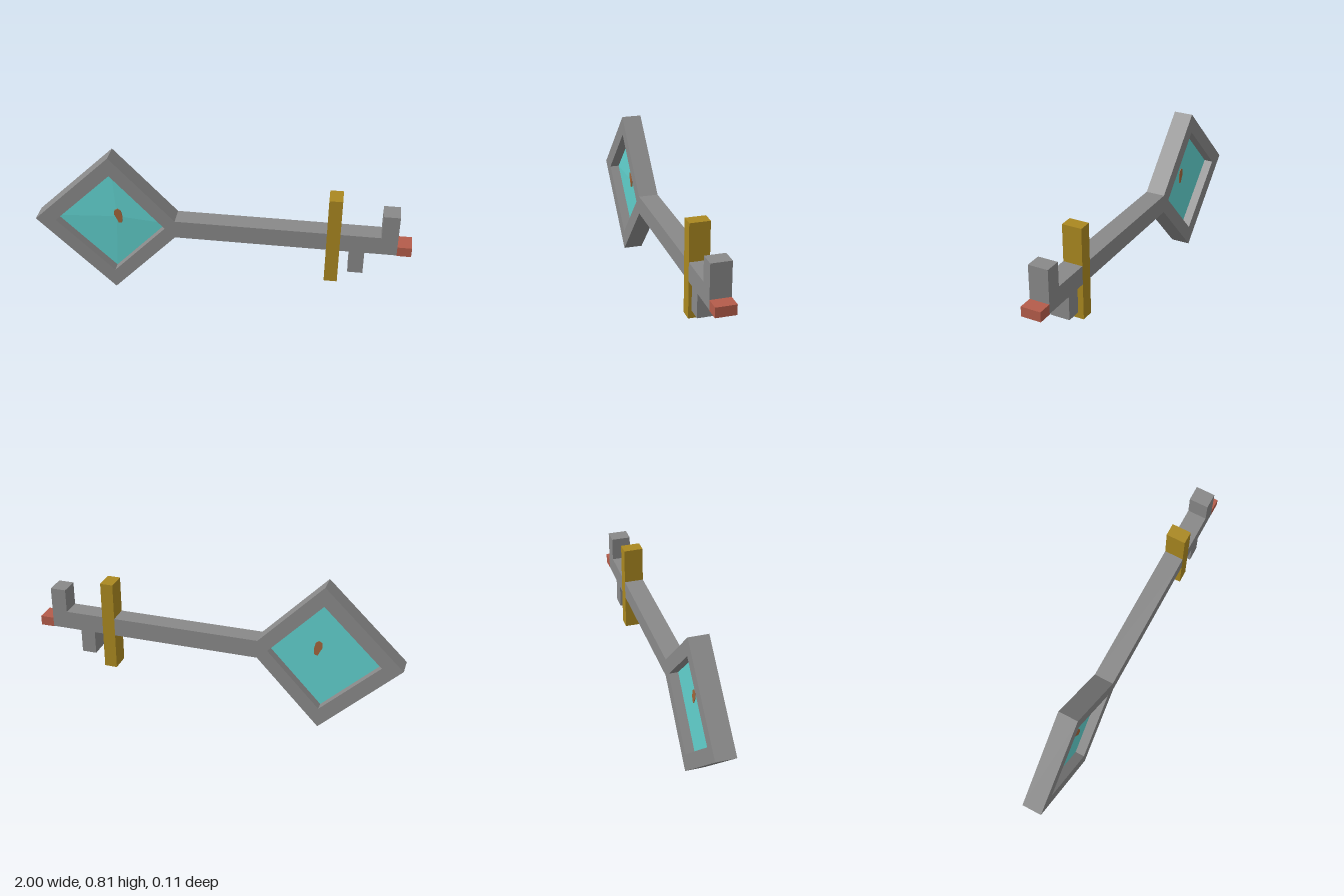
import * as THREE from 'three';
import { ConvexGeometry } from 'three/addons/geometries/ConvexGeometry.js';

const HALF = 0.053; // half thickness of the key

function material(name, color) {
  const m = new THREE.MeshStandardMaterial({ color });
  m.name = name;
  return m;
}

const points = (list) => list.map(([x, y]) => new THREE.Vector2(x, y));

// Flat slab from an outline, centred on z = 0
function slab(name, outline, half, mat, hole) {
  const shape = new THREE.Shape(points(outline));
  if (hole) shape.holes.push(new THREE.Path(points(hole)));
  const geometry = new THREE.ExtrudeGeometry(shape, { depth: half * 2, bevelEnabled: false });
  geometry.translate(0, 0, -half);
  const mesh = new THREE.Mesh(geometry, mat);
  mesh.name = name;
  return mesh;
}

const rect = (x0, x1, y0, y1) => [[x0, y0], [x1, y0], [x1, y1], [x0, y1]];

export function createModel() {
  const steel = material('steel grey', 0x888888);
  const gold = material('gold', 0xa98720);
  const red = material('dull red', 0xb45c4a);
  const cyan = material('cyan glass', 0x60cfcc);
  const brown = material('brown', 0xa0643a);

  const key = new THREE.Group();
  key.name = 'key';

  // Diamond bow and the shaft up to the collar, with a diamond opening
  const opening = [[-0.89, 0.41], [-0.58, 0.71], [-0.295, 0.41], [-0.58, 0.11]];
  key.add(slab('bowAndShaft', [
    [-1, 0.41], [-0.58, 0], [-0.24, 0.36], [0.56, 0.36],
    [0.56, 0.46], [-0.24, 0.46], [-0.58, 0.815],
  ], HALF, steel, opening));

  // Crossbar collar
  key.add(slab('crossbar', rect(0.56, 0.63, 0.16, 0.66), HALF, gold));

  // Shaft end with a lower and an upper tooth
  key.add(slab('bit', [
    [0.63, 0.36], [0.68, 0.36], [0.68, 0.23], [0.76, 0.23], [0.76, 0.36],
    [0.925, 0.36], [0.925, 0.59], [0.84, 0.59], [0.84, 0.46], [0.63, 0.46],
  ], HALF, steel));

  // Red tip
  key.add(slab('tip', rect(0.925, 1, 0.357, 0.41), HALF, red));

  // Faceted pane: flat behind, a very low peak in front
  const corners = [-0.004, 0.002].flatMap((z) => opening.map(([x, y]) => new THREE.Vector3(x, y, z)));
  const pane = new THREE.Mesh(new ConvexGeometry([...corners, new THREE.Vector3(-0.56, 0.44, 0.014)]), cyan);
  pane.name = 'glassPane';
  key.add(pane);

  // Small splinter set through the pane
  const splinter = slab('splinter', [
    [-0.552, 0.402], [-0.534, 0.405], [-0.53, 0.44], [-0.538, 0.475],
    [-0.555, 0.487], [-0.572, 0.478], [-0.575, 0.45], [-0.562, 0.425],
  ], 0.012, brown);
  splinter.position.z = 0.005;
  key.add(splinter);

  return key;
}
